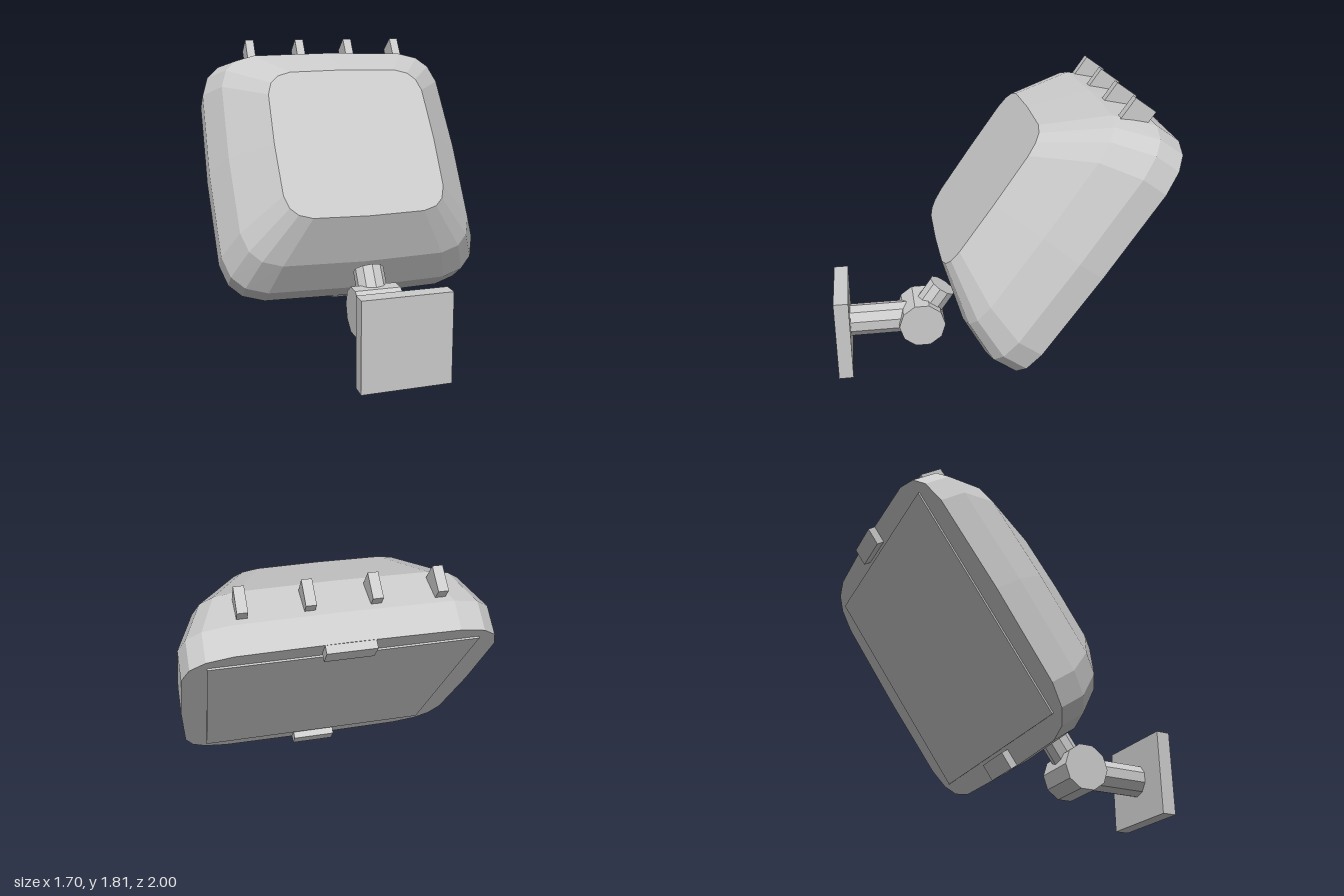
import * as THREE from 'three';

const grey = new THREE.MeshStandardMaterial({ color: 0xcccccc });
grey.name = 'light grey';

// Faceted mesh with hard edges
function part(name, geometry, parent, x = 0, y = 0, z = 0) {
  const flat = geometry.index ? geometry.toNonIndexed() : geometry;
  flat.computeVertexNormals();
  const mesh = new THREE.Mesh(flat, grey);
  mesh.name = name;
  mesh.position.set(x, y, z);
  parent.add(mesh);
  return mesh;
}

// Rounded-square shell lofted through rings of [depth, half width, half height, centre height]
function shellGeometry(rings, sides = 20, power = 1 / 3) {
  const round = (v) => Math.sign(v) * Math.pow(Math.abs(v), power);
  const positions = [];
  const indices = [];
  for (const [depth, w, h, cy] of rings) {
    for (let i = 0; i < sides; i++) {
      const t = (i / sides) * Math.PI * 2;
      positions.push(w * round(Math.cos(t)), cy + h * round(Math.sin(t)), depth);
    }
  }
  const last = (rings.length - 1) * sides;
  const back = positions.length / 3;
  const front = back + 1;
  positions.push(0, rings[0][3], rings[0][0]);
  positions.push(0, rings[rings.length - 1][3], rings[rings.length - 1][0]);
  for (let i = 0; i < sides; i++) {
    const j = (i + 1) % sides;
    for (let r = 0; r < last; r += sides) {
      indices.push(r + i, r + j, r + sides + j, r + i, r + sides + j, r + sides + i);
    }
    indices.push(back, j, i, front, last + i, last + j);
  }
  const geometry = new THREE.BufferGeometry();
  geometry.setAttribute('position', new THREE.Float32BufferAttribute(positions, 3));
  geometry.setIndex(indices);
  return geometry;
}

export function createModel() {
  const model = new THREE.Group();
  model.name = 'floodlight';
  const tilt = -THREE.MathUtils.degToRad(35);

  // Tilted lamp head
  const head = new THREE.Group();
  head.name = 'lampHead';
  head.position.set(0, 0.888, -0.487);
  head.rotation.x = tilt;
  model.add(head);

  part('housing', shellGeometry([
    [0, 0.85, 0.838, 0],
    [0.163, 0.85, 0.838, 0],
    [0.382, 0.75, 0.743, 0],
    [0.64, 0.51, 0.5, -0.046],
  ]), head);
  part('lens', new THREE.BoxGeometry(1.41, 1.405, 0.02), head, 0, 0, 0);

  // Clips holding the lens at top and bottom
  for (const side of [1, -1]) {
    part('lensClip', new THREE.BoxGeometry(0.26, 0.108, 0.056), head, 0, side * 0.779, -0.018);
  }

  // Cooling fins along the top
  for (let i = 0; i < 4; i++) {
    part('coolingFin', new THREE.BoxGeometry(0.055, 0.18, 0.146), head, -0.51 + i * 0.34, 0.79, 0.27);
  }

  // Wall mount: plate, arm, pivot and stub
  const mount = new THREE.Group();
  mount.name = 'wallMount';
  model.add(mount);

  part('mountPlate', new THREE.BoxGeometry(0.52, 0.525, 0.09), mount, 0, 0.2625, 0.955);
  part('mountArm', new THREE.CylinderGeometry(0.102, 0.102, 0.45, 10).rotateX(Math.PI / 2),
    mount, 0, 0.268, 0.69);
  part('pivot', new THREE.CylinderGeometry(0.147, 0.147, 0.28, 10).rotateZ(Math.PI / 2),
    mount, 0, 0.262, 0.458);
  const stub = part('pivotStub', new THREE.CylinderGeometry(0.092, 0.092, 0.253, 10).translate(0, 0.1265, 0),
    mount, 0, 0.262, 0.458);
  stub.rotation.x = tilt;

  return model;
}
